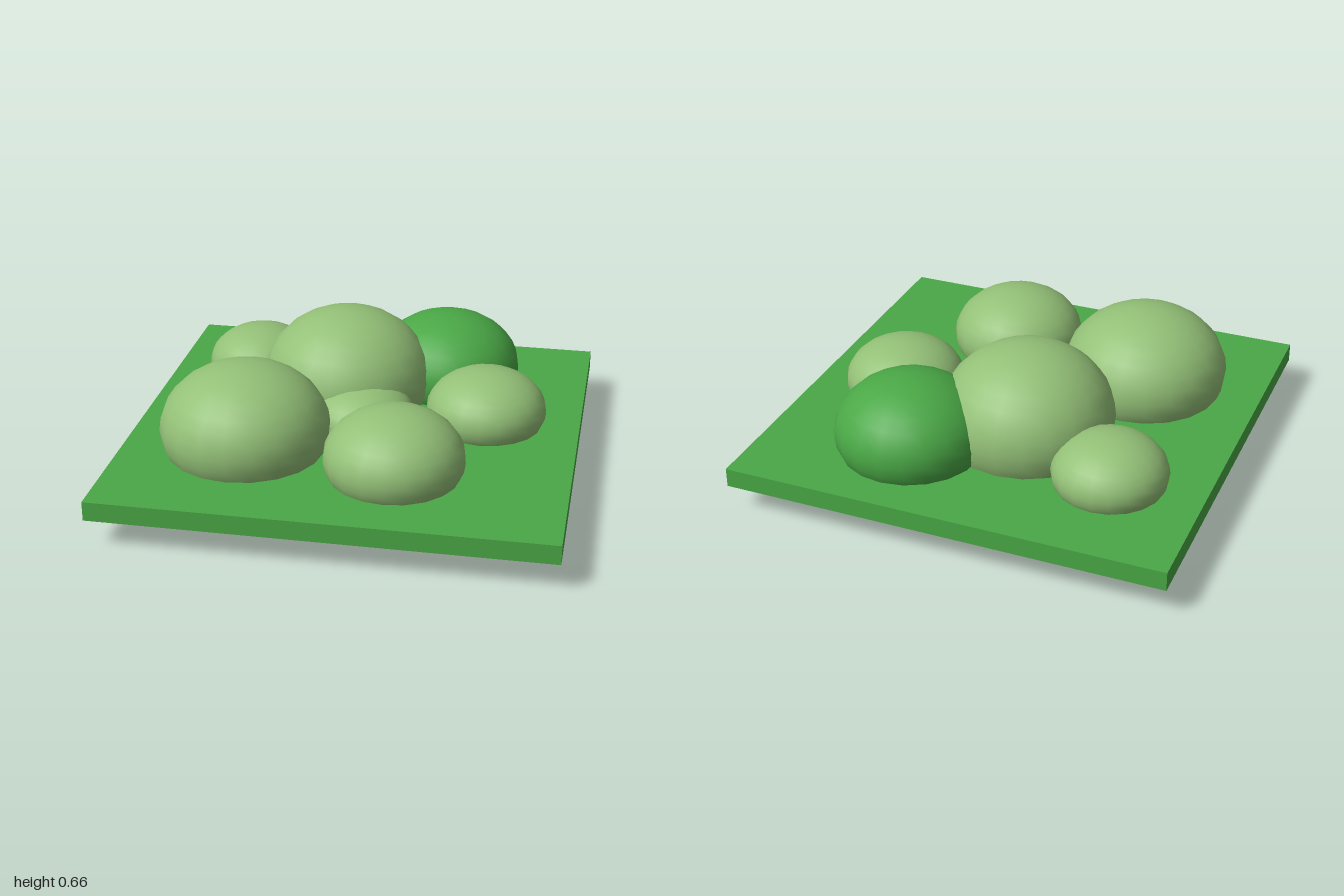
import * as THREE from 'three';

export function createModel() {
  const group = new THREE.Group();
  const grass = new THREE.MeshStandardMaterial({ color: 0x4aa846 });
  grass.name = 'grass green';
  const leaf = new THREE.MeshStandardMaterial({ color: 0x93c077 });
  leaf.name = 'pale leaf green';

  // Flat square ground slab
  const slab = new THREE.Mesh(new THREE.BoxGeometry(2, 0.087, 2), grass);
  slab.name = 'groundSlab';
  slab.position.y = 0.175;
  group.add(slab);

  // Squashed round bushes sunk through the slab
  const ball = new THREE.SphereGeometry(1, 20, 16);
  const addBush = (name, material, x, y, z, radius, halfHeight) => {
    const bush = new THREE.Mesh(ball, material);
    bush.name = name;
    bush.position.set(x, y, z);
    bush.scale.set(radius, halfHeight, radius);
    group.add(bush);
  };
  addBush('frontRightBush', leaf, -0.453, 0.322, 0.365, 0.379, 0.293);
  addBush('tallCentreBush', leaf, -0.108, 0.333, -0.248, 0.392, 0.328);
  addBush('frontLeftBush', leaf, 0.24, 0.298, 0.505, 0.31, 0.223);
  addBush('leftBush', leaf, 0.57, 0.287, -0.085, 0.275, 0.188);
  addBush('backLeftGreenBush', grass, 0.332, 0.308, -0.525, 0.342, 0.258);
  addBush('backRightBush', leaf, -0.578, 0.278, -0.48, 0.256, 0.174);
  addBush('smallMiddleBush', leaf, 0.015, 0.27, 0.04, 0.241, 0.152);

  return group;
}
